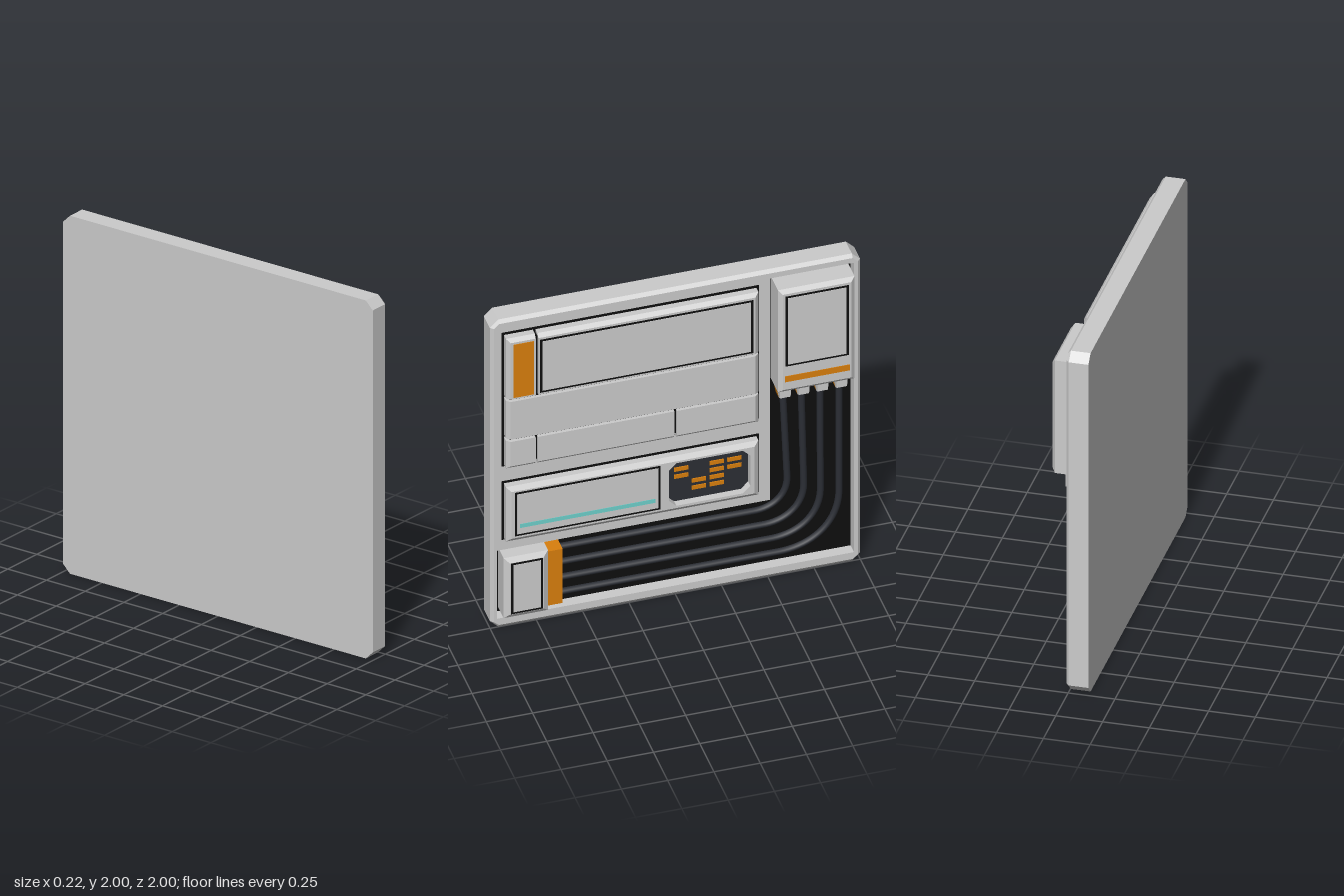
import * as THREE from 'three';
import { mergeGeometries } from 'three/addons/utils/BufferGeometryUtils.js';

const mat = (color) => new THREE.MeshStandardMaterial({ color });
const GREY = mat(0xcccccc), BLACK = mat(0x0e0e0e), DARK = mat(0x2c2e35),
  CABLE = mat(0x2b2e35), ORANGE = mat(0xd97f0d), CYAN = mat(0x6fd0cc);

// Rectangle outline with corners cut by c
function outline(u0, u1, v0, v1, c = 0) {
  const p = c
    ? [[u0 + c, v0], [u1 - c, v0], [u1, v0 + c], [u1, v1 - c], [u1 - c, v1], [u0 + c, v1], [u0, v1 - c], [u0, v0 + c]]
    : [[u0, v0], [u1, v0], [u1, v1], [u0, v1]];
  return p.map(([x, y]) => new THREE.Vector2(x, y));
}

// Extruded layer; the front outline is pulled in per side: [left, right, bottom, top]
function layer(points, holes, w0, w1, inset = [0, 0, 0, 0]) {
  const shape = new THREE.Shape(points);
  holes.forEach((h) => shape.holes.push(new THREE.Path(h)));
  const g = new THREE.ExtrudeGeometry(shape, { depth: w1 - w0, bevelEnabled: false });
  g.translate(0, 0, w0);
  const us = points.map((p) => p.x), vs = points.map((p) => p.y);
  const [l, r, b, t] = inset;
  const pos = g.attributes.position;
  for (let i = 0; i < pos.count; i++) {
    if (pos.getZ(i) < w1 - 1e-5) continue;
    pos.setX(i, THREE.MathUtils.clamp(pos.getX(i), Math.min(...us) + l, Math.max(...us) - r));
    pos.setY(i, THREE.MathUtils.clamp(pos.getY(i), Math.min(...vs) + b, Math.max(...vs) - t));
  }
  g.computeVertexNormals();
  return g;
}

export function createModel() {
  // Built facing +z, then turned so the panel faces +x
  const panel = new THREE.Group();
  panel.name = 'wallPanel';
  panel.rotation.y = Math.PI / 2;

  const add = (name, geometry, material) => {
    const m = new THREE.Mesh(geometry, material);
    m.name = name;
    panel.add(m);
    return m;
  };
  const plate = (name, u0, u1, v0, v1, w0, w1, material) =>
    add(name, layer(outline(u0, u1, v0, v1), [], w0, w1), material);
  // Block with a chamfered front; sides lists the chamfer per side
  const block = (name, u0, u1, v0, v1, w0, w1, bevel, sides, holes = []) => {
    const pts = outline(u0, u1, v0, v1);
    const mid = w1 - 0.018;
    return add(name, mergeGeometries([
      layer(pts, holes, w0, mid), layer(pts, holes, mid, w1, sides.map((s) => s * bevel))]), GREY);
  };
  // Grey plate with a black seam around it
  const inlay = (name, u0, u1, v0, v1, w) => {
    plate(name + 'Seam', u0, u1, v0, v1, w - 0.01, w + 0.001, BLACK);
    plate(name, u0 + 0.012, u1 - 0.012, v0 + 0.012, v1 - 0.012, w - 0.01, w + 0.003, GREY);
  };
  const ALL = [1, 1, 1, 1];

  // Slab with an L-shaped cable channel
  const rim = outline(-1, 1, 0, 2, 0.045);
  const channel = [[-0.967, 0.065], [0.962, 0.065], [0.962, 1.95], [0.508, 1.95], [0.508, 0.508], [-0.967, 0.508]]
    .map(([x, y]) => new THREE.Vector2(x, y));
  add('slab', mergeGeometries([
    layer(rim, [], -0.108, -0.05),
    layer(rim, [channel], -0.05, -0.003),
    layer(rim, [channel], -0.003, 0.014, [0.018, 0.018, 0.022, 0.018]),
  ]), GREY);
  add('channelFloor', layer(channel, [], -0.052, -0.047), BLACK);

  // Upper cover: black core showing in the seams between the tiles
  plate('upperGap', -0.942, 0.447, 1.053, 1.922, 0, 0.017, BLACK);
  plate('upperCore', -0.91, 0.41, 1.09, 1.89, 0, 0.052, BLACK);
  [
    [-0.93, -0.774, 1.52, 1.908, [1, 0, 0, 1]],
    [-0.76, 0.433, 1.52, 1.908, [0, 1, 0, 1]],
    [-0.93, 0.433, 1.26, 1.505, [1, 1, 0, 0]],
    [-0.93, -0.774, 1.065, 1.245, [1, 0, 1, 0]],
    [-0.762, -0.025, 1.065, 1.245, [0, 0, 1, 0]],
    [-0.011, 0.433, 1.065, 1.245, [0, 1, 1, 0]],
  ].forEach(([a, b, c, d, s]) => block('coverTile', a, b, c, d, 0.01, 0.07, 0.02, s));
  plate('orangeTile', -0.895, -0.785, 1.53, 1.875, 0.06, 0.073, ORANGE);
  inlay('coverInlay', -0.75, 0.4, 1.53, 1.875, 0.07);

  // Middle module with a screen strip and a recessed indicator window
  plate('middleGap', -0.942, 0.447, 0.575, 0.955, 0, 0.017, BLACK);
  block('middleModule', -0.93, 0.433, 0.588, 0.942, 0.01, 0.07, 0.025, ALL,
    [outline(-0.055, 0.385, 0.628, 0.905, 0.04)]);
  inlay('screen', -0.887, -0.1, 0.625, 0.908, 0.07);
  plate('screenLine', -0.86, -0.13, 0.677, 0.702, 0.07, 0.075, CYAN);
  plate('indicatorFloor', -0.055, 0.385, 0.628, 0.905, 0.012, 0.03, DARK);
  ['1011', '1011', '0110', '0110'].forEach((row, j) => [...row].forEach((on, i) => {
    if (on === '0') return;
    const u = 0.022 + i * 0.096, v = 0.835 - j * 0.046;
    plate('indicatorLight', u - 0.038, u + 0.038, v - 0.012, v + 0.012, 0.028, 0.036, ORANGE);
  }));

  // Lower plug
  block('lowerPlug', -0.942, -0.703, 0.092, 0.482, -0.05, 0.07, 0.028, ALL);
  inlay('lowerPlugInlay', -0.908, -0.735, 0.122, 0.452, 0.07);
  plate('lowerPlugCollar', -0.705, -0.62, 0.11, 0.462, -0.05, 0.04, ORANGE);

  // Upper plug
  block('upperPlug', 0.528, 0.942, 1.257, 1.922, -0.05, 0.105, 0.022, ALL);
  inlay('upperPlugInlay', 0.565, 0.905, 1.43, 1.885, 0.105);
  plate('upperPlugStripe', 0.56, 0.912, 1.33, 1.367, 0.1, 0.108, ORANGE);

  // Cables with tapered connectors
  const P = (u, v) => new THREE.Vector3(u, v, -0.018);
  const cables = [[0.585, 0.61, 0.43, 0.18], [0.685, 0.7, 0.33, 0.22], [0.787, 0.79, 0.23, 0.27], [0.89, 0.89, 0.135, 0.33]];
  cables.forEach(([top, u, v, r]) => {
    const path = new THREE.CurvePath();
    path.add(new THREE.LineCurve3(P(-0.64, v + 0.006), P(u - r, v)));
    path.add(new THREE.CubicBezierCurve3(P(u - r, v), P(u - r * 0.4, v), P(u, v + r * 0.4), P(u, v + r)));
    path.add(new THREE.LineCurve3(P(u, v + r), P(top, 1.2)));
    add('cable', new THREE.TubeGeometry(path, 90, 0.018, 10), CABLE);

    const foot = [[-0.028, 1.16], [0.028, 1.16], [0.04, 1.22], [0.04, 1.262], [-0.04, 1.262], [-0.04, 1.22]]
      .map(([x, y]) => new THREE.Vector2(top + x, y));
    add('connectorCore', layer(foot, [], -0.048, 0.01), ORANGE);
    add('connectorCap', layer(foot, [], 0.01, 0.035, [0.01, 0.01, 0.012, 0]), GREY);
  });

  const model = new THREE.Group();
  model.name = 'model';
  model.add(panel);
  return model;
}
